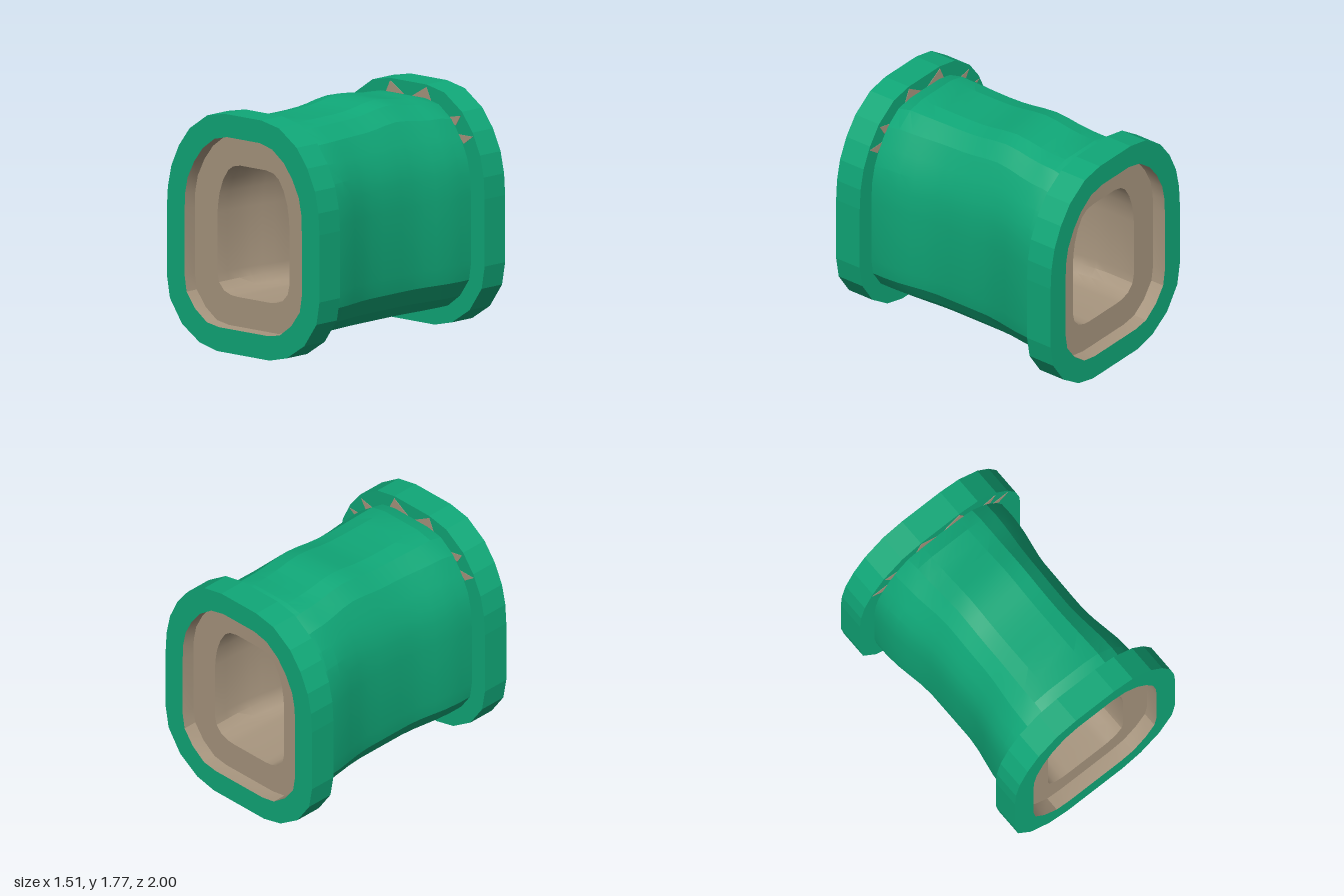
import * as THREE from 'three';
import { toCreasedNormals } from 'three/addons/utils/BufferGeometryUtils.js';

// Right halves of the closed profiles, bottom to top: [x, y]
const OUTER = [[0.26, 0], [0.43, 0.04], [0.605, 0.155], [0.725, 0.33], [0.755, 0.5], [0.755, 1],
  [0.745, 1.16], [0.71, 1.32], [0.635, 1.48], [0.53, 1.62], [0.355, 1.74], [0.18, 1.775]];
const OPENING = [[0.24, 0.18], [0.36, 0.2], [0.475, 0.285], [0.56, 0.4], [0.58, 0.52], [0.58, 1],
  [0.575, 1.13], [0.55, 1.25], [0.485, 1.38], [0.4, 1.49], [0.285, 1.575], [0.16, 1.605]];
const HOLE = [[0.16, 0.4], [0.22, 0.405], [0.29, 0.43], [0.34, 0.485], [0.355, 0.55], [0.355, 1],
  [0.35, 1.06], [0.335, 1.15], [0.3, 1.25], [0.25, 1.33], [0.2, 1.365], [0.13, 1.38]];
const BODY = [[0.26, 0.135], [0.39, 0.16], [0.51, 0.25], [0.6, 0.38], [0.62, 0.51], [0.62, 1],
  [0.61, 1.16], [0.58, 1.29], [0.52, 1.42], [0.43, 1.55], [0.3, 1.645], [0.17, 1.672]];

// Mirrors a half profile into a counterclockwise ring at depth z
function ring(half, z) {
  const left = half.map(([x, y]) => [-x, y]).reverse();
  return [...half, ...left].map(([x, y]) => [x, y, z]);
}

// Joins successive rings with quads; edges sharper than the crease stay hard
function loft(rings, crease) {
  const pos = [];
  for (let r = 0; r + 1 < rings.length; r++) {
    const a = rings[r], b = rings[r + 1], n = a.length;
    for (let i = 0; i < n; i++) {
      const j = (i + 1) % n;
      pos.push(...a[i], ...a[j], ...b[j], ...a[i], ...b[j], ...b[i]);
    }
  }
  const g = new THREE.BufferGeometry();
  g.setAttribute('position', new THREE.Float32BufferAttribute(pos, 3));
  return toCreasedNormals(g, crease);
}

// The sides draw in by 0.06 towards the middle of the length
const waist = (z) => 0.06 * (1 - THREE.MathUtils.smoothstep(Math.abs(z), 0.2, 0.67));
function pinch(half, z) {
  const w = Math.max(...half.map((p) => p[0]));
  return half.map(([x, y]) => [x - waist(z) * THREE.MathUtils.smoothstep(x / w, 0.3, 1), y]);
}

// The roof rises just inside the flanges and swells behind the middle
function lift(z) {
  const shoulder = 0.028 * Math.min(1, (0.78 - Math.abs(z)) / 0.11);
  return shoulder + 0.045 * Math.exp(-(((z + 0.22) / 0.22) ** 2));
}

export function createModel() {
  const model = new THREE.Group();
  const green = new THREE.MeshStandardMaterial({ color: 0x10a878 });
  green.name = 'green';
  const tan = new THREE.MeshStandardMaterial({ color: 0xa8967f });
  tan.name = 'tan';
  const add = (parent, name, geometry, material) => {
    const mesh = new THREE.Mesh(geometry, material);
    mesh.name = name;
    parent.add(mesh);
  };

  // Waisted outer shell
  const stations = [-0.78, -0.67, -0.55, -0.44, -0.33, -0.22, -0.1, 0, 0.1, 0.22, 0.33, 0.44, 0.55, 0.67, 0.78];
  const shell = stations.map((z) => ring(pinch(BODY, z).map(([x, y]) =>
    [x, y + lift(z) * Math.max(0, (y - 1) / 0.672)]), z));
  add(model, 'outerShell', loft(shell, 0.22), green);

  // Inner passage, facing inwards
  const inner = [0.89, ...stations.slice().reverse(), -0.89];
  add(model, 'innerPassage', loft(inner.map((z) => ring(pinch(HOLE, z), z)), 0.5), tan);

  // Small triangular chips on the inner face of a flange
  const chips = [
    [[-0.01, 1.645], [0.235, 1.64], [0.18, 1.757]],
    [[0.38, 1.56], [0.47, 1.51], [0.52, 1.59]],
    [[0.49, 1.45], [0.55, 1.385], [0.64, 1.45]],
  ];
  const chipShapes = [1, -1].flatMap((s) => chips.map((c) =>
    new THREE.Shape(c.map(([x, y]) => new THREE.Vector2(s * x, y)))));

  // Matching flanges with recessed mouths at the two ends
  for (const [name, turn] of [['frontFlange', 0], ['backFlange', Math.PI]]) {
    const end = new THREE.Group();
    end.name = name;
    end.rotation.y = turn;
    add(end, 'flangeCollar', loft([ring(OPENING, 0.78), ring(OUTER, 0.78), ring(OUTER, 1), ring(OPENING, 1)], 0.05), green);
    add(end, 'mouthRecess', loft([ring(OPENING, 1), ring(OPENING, 0.89), ring(HOLE, 0.89)], 0.4), tan);
    const plates = new THREE.ExtrudeGeometry(chipShapes, { depth: 0.004, bevelEnabled: false });
    plates.translate(0, 0, 0.777);
    add(end, 'flangeChips', plates, tan);
    model.add(end);
  }
  return model;
}
